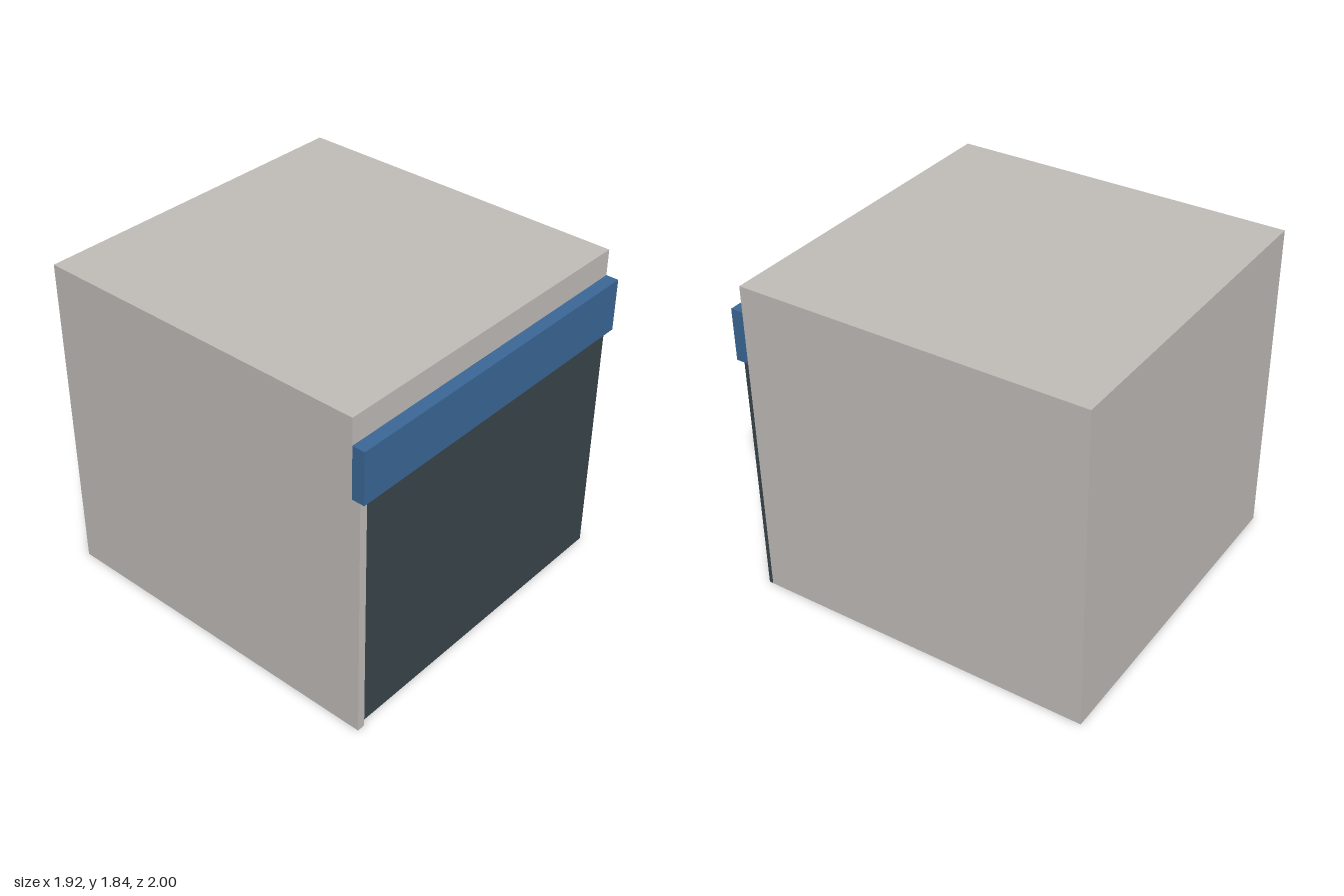
import * as THREE from 'three';

const material = (name, color) => {
  const m = new THREE.MeshStandardMaterial({ color });
  m.name = name;
  return m;
};

// Box given by its lower and upper corners
function block(name, mat, [x0, y0, z0], [x1, y1, z1]) {
  const mesh = new THREE.Mesh(new THREE.BoxGeometry(x1 - x0, y1 - y0, z1 - z0), mat);
  mesh.position.set((x0 + x1) / 2, (y0 + y1) / 2, (z0 + z1) / 2);
  mesh.name = name;
  return mesh;
}

export function createModel() {
  const wall = material('warm grey', 0xc1bdb9);
  const blue = material('sign blue', 0x3b6897);
  const dark = material('dark slate', 0x3a454a);

  const group = new THREE.Group();
  group.name = 'shopUnit';
  group.add(
    // Main volume
    block('building', wall, [-0.96, 0, -1], [0.96, 1.835, 0.93]),
    // Shopfront panel and the pier beside it
    block('shopfront', dark, [-0.915, 0, 0.93], [0.96, 1.4, 0.953]),
    block('pier', wall, [-0.96, 0, 0.93], [-0.915, 1.4, 0.978]),
    // Fascia band across the front
    block('fascia', blue, [-0.96, 1.4, 0.93], [0.96, 1.69, 1])
  );
  return group;
}
